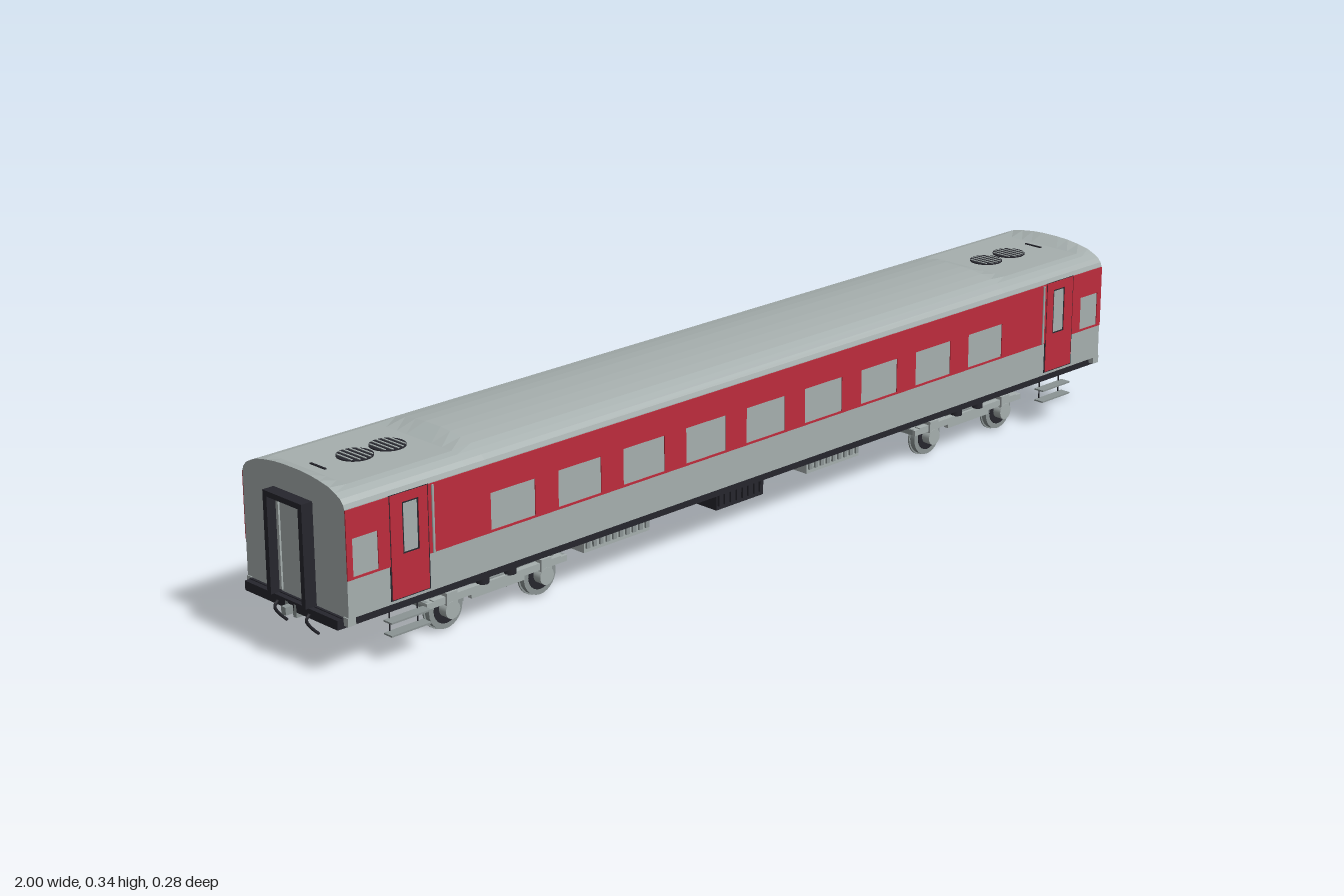
import * as THREE from 'three';

const mat = (name, color) => Object.assign(new THREE.MeshStandardMaterial({ color }), { name });

export function createModel() {
  const grey = mat('silver grey', 0xa6afae);
  const red = mat('carmine red', 0xbd2c3c);
  const dark = mat('charcoal', 0x26262d);
  const steel = mat('wheel steel', 0x8b9494);
  const model = new THREE.Group();
  model.name = 'passengerCoach';

  const add = (name, geo, m, x = 0, y = 0, z = 0, parent = model) => {
    const mesh = new THREE.Mesh(geo, m);
    mesh.name = name;
    mesh.position.set(x, y, z);
    parent.add(mesh);
    return mesh;
  };
  // box given by its lower and upper limits
  const box = (name, m, x0, x1, y0, y1, z0, z1, parent = model) =>
    add(name, new THREE.BoxGeometry(Math.abs(x1 - x0), y1 - y0, Math.abs(z1 - z0)), m,
      (x0 + x1) / 2, (y0 + y1) / 2, (z0 + z1) / 2, parent);
  // cylinder lying along z or x
  const rod = (name, m, r, len, axis, x, y, z, parent = model, seg = 20) => {
    const g = new THREE.CylinderGeometry(r, r, len, seg);
    if (axis === 'z') g.rotateX(Math.PI / 2);
    if (axis === 'x') g.rotateZ(Math.PI / 2);
    return add(name, g, m, x, y, z, parent);
  };

  // body shell: roof profile swept along x, cut flat near both ends
  const half = [[0.134, 0.108], [0.134, 0.298], [0.131, 0.306], [0.124, 0.314], [0.111, 0.321],
    [0.097, 0.327], [0.072, 0.332], [0.045, 0.3355], [0.02, 0.337]];
  const profile = [...half, ...half.map(([z, y]) => [-z, y]).reverse()];
  const stations = [[-0.97, 0.337], [-0.935, 0.324], [-0.712, 0.324], [-0.67, 0.337],
    [0.67, 0.337], [0.712, 0.324], [0.935, 0.324], [0.97, 0.337]];
  const rings = stations.map(([x, cap]) => profile.map(([z, y]) => [x, Math.min(y, cap), z]));
  const pos = [];
  const n = profile.length;
  for (let s = 0; s < rings.length - 1; s++) {
    for (let i = 0; i < n; i++) {
      const j = (i + 1) % n;
      const a = rings[s][i], b = rings[s + 1][i], c = rings[s + 1][j], d = rings[s][j];
      pos.push(...a, ...b, ...c, ...a, ...c, ...d);
    }
  }
  const first = rings[0], last = rings[rings.length - 1];
  for (let i = 1; i < n - 1; i++) {
    pos.push(...first[0], ...first[i], ...first[i + 1]);
    pos.push(...last[0], ...last[i + 1], ...last[i]);
  }
  const shell = new THREE.BufferGeometry();
  shell.setAttribute('position', new THREE.Float32BufferAttribute(pos, 3));
  shell.computeVertexNormals();
  add('bodyShell', shell, grey);
  box('underframe', dark, -0.975, 0.975, 0.09, 0.1085, -0.123, 0.123);

  // thin plate in the xy plane with rectangular holes
  const rect = (P, x0, x1, y0, y1) => {
    const p = new P();
    p.moveTo(x0, y0); p.lineTo(x1, y0); p.lineTo(x1, y1); p.lineTo(x0, y1); p.closePath();
    return p;
  };
  const plate = (name, m, limits, holes, parent, z) => {
    const shape = rect(THREE.Shape, ...limits);
    holes.forEach(h => shape.holes.push(rect(THREE.Path, ...h)));
    add(name, new THREE.ExtrudeGeometry(shape, { depth: 0.002, bevelEnabled: false }), m, 0, 0, z, parent);
  };

  // both sides: red band with window openings, doors, rails and steps
  for (let s = 0; s < 2; s++) {
    const side = new THREE.Group();
    side.name = s ? 'backSide' : 'frontSide';
    side.rotation.y = s * Math.PI;
    model.add(side);
    const windows = [];
    for (let i = -4; i <= 4; i++) {
      const x = i * 0.153;
      windows.push([x - 0.05, x + 0.05, 0.179, 0.246]);
    }
    plate('windowBand', red, [-0.797, 0.797, 0.175, 0.297], windows, side, 0.1335);
    for (const e of [-1, 1]) {
      const span = (a, b) => [Math.min(e * a, e * b), Math.max(e * a, e * b)];
      plate('endBand', red, [...span(0.88, 0.97), 0.175, 0.297], [[...span(0.905, 0.958), 0.179, 0.246]], side, 0.1335);
      box('doorSeam', dark, e * 0.796, e * 0.881, 0.113, 0.298, 0.1325, 0.1345, side);
      plate('door', red, [...span(0.799, 0.878), 0.115, 0.297], [[...span(0.818, 0.853), 0.19, 0.281]], side, 0.1338);
      box('doorWindow', grey, e * 0.821, e * 0.85, 0.193, 0.278, 0.133, 0.135, side);
      rod('handrail', grey, 0.0025, 0.12, 'y', e * 0.788, 0.235, 0.136, side, 8);
      for (const y of [0.051, 0.074]) box('doorStep', steel, e * 0.797, e * 0.882, y - 0.0015, y + 0.0015, 0.113, 0.134, side);
      for (const x of [0.81, 0.87]) box('stepHanger', dark, e * x - 0.001, e * x + 0.001, 0.05, 0.095, 0.113, 0.115, side);
    }
  }

  // both ends: gangway, coupler, hoses, roof fans and bogie
  for (let s = 0; s < 2; s++) {
    const end = new THREE.Group();
    end.name = s ? 'rightEnd' : 'leftEnd';
    end.rotation.y = s * Math.PI;
    model.add(end);
    for (const e of [-1, 1]) {
      box('gangwayPost', dark, 0.965, 0.993, 0.108, 0.29, e * 0.041, e * 0.051, end);
      box('doorJamb', grey, 0.965, 0.975, 0.113, 0.281, e * 0.035, e * 0.041, end);
      box('cornerStep', grey, 0.955, 0.972, 0.095, 0.11, e * 0.122, e * 0.134, end);
      box('couplerPlate', steel, 0.97, 0.985, 0.08, 0.103, e * 0.006, e * 0.015, end);
    }
    box('gangwayTop', dark, 0.965, 0.993, 0.281, 0.291, -0.051, 0.051, end);
    box('endDoor', grey, 0.965, 0.973, 0.113, 0.278, -0.033, 0.033, end);
    box('couplerShank', steel, 0.93, 1.0, 0.086, 0.1, -0.006, 0.006, end);
    box('endBeam', dark, 0.96, 0.985, 0.09, 0.107, -0.123, 0.123, end);
    for (const z of [-0.05, 0.034]) {
      const path = new THREE.CatmullRomCurve3([[0.985, 0.098], [0.992, 0.088], [0.982, 0.072], [0.968, 0.058]]
        .map(([x, y]) => new THREE.Vector3(x, y, z)));
      add('brakeHose', new THREE.TubeGeometry(path, 10, 0.0028, 6), dark, 0, 0, 0, end);
    }

    // roof fans with grille bars
    for (const x of [0.769, 0.839]) {
      rod('roofFan', dark, 0.032, 0.003, 'y', x, 0.3245, 0, end, 24);
      for (let i = -2; i <= 2; i++) {
        const dx = i * 0.011, w = Math.sqrt(0.03 ** 2 - dx ** 2);
        box('fanGrilleBar', grey, x + dx - 0.0015, x + dx + 0.0015, 0.325, 0.3272, -w, w, end);
      }
    }
    box('roofRail', dark, 0.914, 0.918, 0.323, 0.326, -0.02, 0.02, end);

    // bogie
    const bogie = new THREE.Group();
    bogie.name = 'bogie';
    bogie.position.x = 0.615;
    end.add(bogie);
    box('bolster', steel, -0.022, 0.022, 0.052, 0.07, -0.09, 0.09, bogie);
    rod('pivot', dark, 0.02, 0.03, 'y', 0, 0.08, 0, bogie);
    for (const e of [-1, 1]) {
      box('sideFrame', grey, -0.145, 0.145, 0.055, 0.068, e * 0.084, e * 0.096, bogie);
      box('frameCradle', grey, -0.06, 0.06, 0.047, 0.056, e * 0.085, e * 0.095, bogie);
      for (const x of [-0.031, 0.031]) rod('spring', dark, 0.012, 0.026, 'y', x, 0.08, e * 0.09, bogie, 12);
      const a = e * 0.107;
      rod('axle', steel, 0.006, 0.18, 'z', a, 0.04, 0, bogie, 12);
      box('endTransom', steel, e * 0.155 - 0.004, e * 0.155 + 0.004, 0.056, 0.066, -0.09, 0.09, bogie);
      box('frameTip', grey, e * 0.14, e * 0.159, 0.055, 0.066, -0.096, 0.096, bogie).visible = true;
      for (const z of [-1, 1]) {
        rod('wheelTread', steel, 0.037, 0.012, 'z', a, 0.04, z * 0.076, bogie, 28);
        rod('wheelFlange', steel, 0.04, 0.003, 'z', a, 0.04, z * 0.0695, bogie, 28);
        rod('wheelDisc', dark, 0.027, 0.001, 'z', a, 0.04, z * 0.0824, bogie, 24);
        rod('axleBox', grey, 0.016, 0.018, 'z', a, 0.042, z * 0.092, bogie, 16);
        box('axleBoxSpring', grey, a - 0.012, a + 0.012, 0.045, 0.075, z * 0.084, z * 0.1, bogie);
        for (const w of [0.024, 0.048])
          box('brakeHanger', dark, e * 0.06 - 0.001, e * 0.06 + 0.001, 0.022, 0.06, z * w - 0.001, z * w + 0.001, bogie);
      }
      box('brakeBeam', steel, e * 0.06 - 0.003, e * 0.06 + 0.003, 0.035, 0.041, -0.07, 0.07, bogie);
    }
  }

  // equipment boxes with ribbed fronts, and air tanks
  const equipment = (name, m, ribMat, x0, x1, y0, y1) => {
    box(name, m, x0, x1, y0, y1, 0.01, 0.073);
    const count = Math.round((x1 - x0) / 0.016);
    for (let i = 0; i < count; i++) {
      const x = x0 + (i + 0.5) * (x1 - x0) / count;
      box(name + 'Rib', ribMat, x - 0.004, x + 0.004, y0 + 0.008, y1 - 0.006, 0.072, 0.077);
    }
  };
  equipment('batteryBox', grey, steel, -0.395, -0.235, 0.045, 0.092);
  equipment('converterBox', grey, steel, 0.175, 0.32, 0.045, 0.092);
  equipment('compressorBox', dark, dark, -0.065, 0.058, 0.036, 0.092);
  for (const [x0, x1] of [[-0.118, -0.02], [0.06, 0.172]]) {
    rod('airTank', steel, 0.014, x1 - x0, 'x', (x0 + x1) / 2, 0.055, -0.012);
    for (const x of [x0 + 0.02, x1 - 0.02]) box('tankStrap', dark, x - 0.003, x + 0.003, 0.055, 0.092, -0.02, -0.004);
  }
  return model;
}
